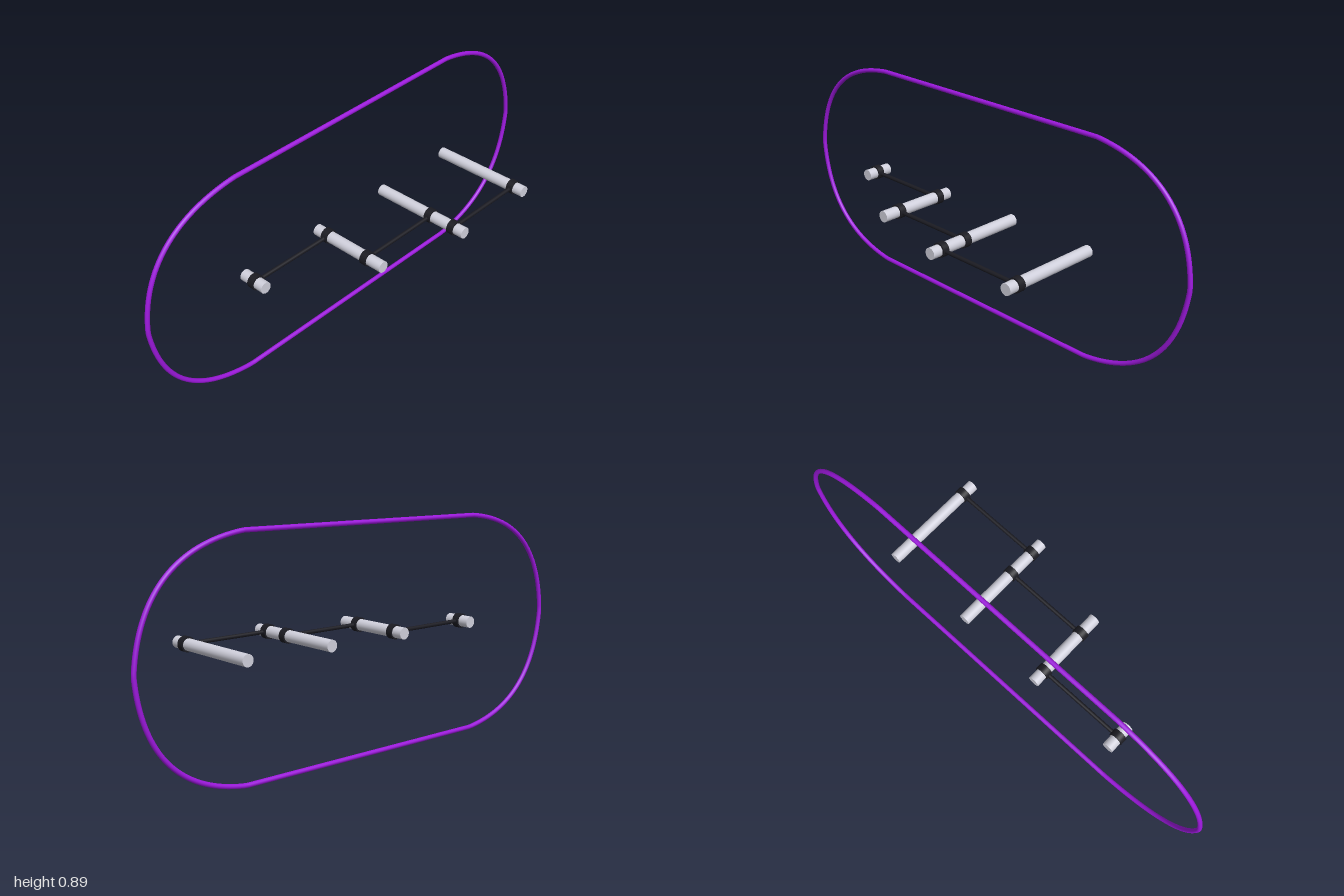
import * as THREE from 'three';

const BACK = -0.212, AXIS = 0.4485;

export function createModel() {
  const model = new THREE.Group();
  const purple = new THREE.MeshStandardMaterial({ color: 0x9c18dc });
  const grey = new THREE.MeshStandardMaterial({ color: 0xd0d0dc });
  const black = new THREE.MeshStandardMaterial({ color: 0x1b1b22 });

  const add = (name, geometry, material, x, y, z) => {
    const mesh = new THREE.Mesh(geometry, material);
    mesh.name = name;
    mesh.position.set(x, y, z);
    model.add(mesh);
  };
  // cylinder lying along z
  const rodZ = (radius, length) =>
    new THREE.CylinderGeometry(radius, radius, length, 32).rotateX(Math.PI / 2);

  // Outline loop: straight runs joined by four curved corners
  const v = (x, y) => new THREE.Vector3(x, y, BACK);
  const topL = v(-0.555, 0.878), topR = v(0.56, 0.889);
  const botL = v(-0.565, 0.012), botR = v(0.565, 0.013);
  const tipL = v(-0.991, 0.455), tipR = v(0.991, 0.46);
  const loop = new THREE.CurvePath();
  loop.add(new THREE.LineCurve3(topL, topR));
  loop.add(new THREE.QuadraticBezierCurve3(topR, v(0.96, 0.845), tipR));
  loop.add(new THREE.QuadraticBezierCurve3(tipR, v(0.96, 0.06), botR));
  loop.add(new THREE.LineCurve3(botR, botL));
  loop.add(new THREE.QuadraticBezierCurve3(botL, v(-0.96, 0.06), tipL));
  loop.add(new THREE.QuadraticBezierCurve3(tipL, v(-0.965, 0.84), topL));
  add('outlineLoop', new THREE.TubeGeometry(loop, 240, 0.009, 12, true), purple, 0, 0, 0);

  // Pegs: [x, front end z]
  const pegs = [[-0.555, -0.10], [-0.185, 0.13], [0.177, 0.22], [0.551, 0.22]];
  pegs.forEach(([x, front], i) => {
    const length = front - BACK;
    add(`peg${i + 1}`, rodZ(0.023, length), grey, x, AXIS, BACK + length / 2);
  });

  // Links: a collar on each of two neighbouring pegs, with a thin rod between
  [-0.154, 0.049, 0.164].forEach((z, i) => {
    const a = pegs[i][0], b = pegs[i + 1][0];
    for (const x of [a, b]) add(`collar${i + 1}`, rodZ(0.029, 0.028), black, x, AXIS, z);
    const rod = new THREE.CylinderGeometry(0.008, 0.008, b - a, 16).rotateZ(Math.PI / 2);
    add(`linkRod${i + 1}`, rod, black, (a + b) / 2, AXIS, z);
  });

  return model;
}
